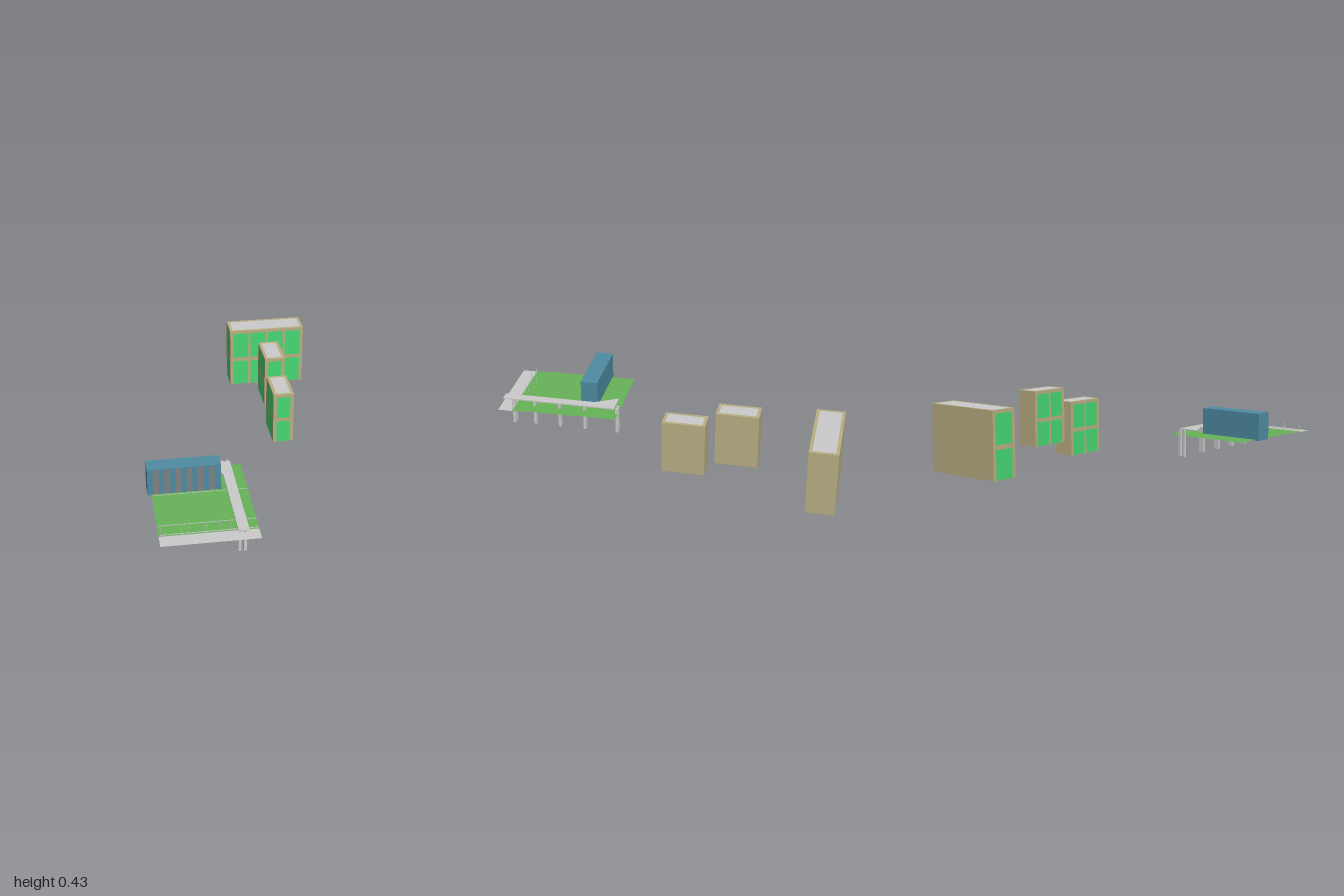
import * as THREE from 'three';

const paint = (color) => new THREE.MeshStandardMaterial({ color, side: THREE.DoubleSide });
const grey = paint(0xcccccc), tan = paint(0xbaaf84), green = paint(0x46d873);
const lawnGreen = paint(0x68b258), blue = paint(0x4f8ba2), stripeGrey = paint(0x828282);

function add(parent, name, geometry, material, x = 0, y = 0, z = 0) {
  const m = new THREE.Mesh(geometry, material);
  m.name = name;
  m.position.set(x, y, z);
  parent.add(m);
  return m;
}

// box given by its limits on each axis
function box(parent, name, material, [x0, x1], [y0, y1], [z0, z1]) {
  return add(parent, name, new THREE.BoxGeometry(x1 - x0, y1 - y0, z1 - z0), material,
    (x0 + x1) / 2, (y0 + y1) / 2, (z0 + z1) / 2);
}

const rect = (Type, x0, x1, y0, y1) => new Type([
  new THREE.Vector2(x0, y0), new THREE.Vector2(x1, y0),
  new THREE.Vector2(x1, y1), new THREE.Vector2(x0, y1)]);

// flat wall with coplanar panels set into its frame, centred on x, standing on y = 0
function wall(name, w, h, panels, frameMat, panelMat) {
  const g = new THREE.Group();
  g.name = name;
  const frame = rect(THREE.Shape, -w / 2, w / 2, 0, h);
  for (const p of panels) {
    frame.holes.push(rect(THREE.Path, ...p));
    add(g, 'panel', new THREE.ShapeGeometry(rect(THREE.Shape, ...p)), panelMat);
  }
  add(g, 'frame', new THREE.ShapeGeometry(frame), frameMat);
  return g;
}

// two rows of window panels in a number of columns
function windows(w, h, columns) {
  const list = [], pitch = (w - 0.04 + 0.015) / columns;
  for (let i = 0; i < columns; i++) {
    const x = -w / 2 + 0.02 + i * pitch;
    list.push([x, x + pitch - 0.015, 0.002, h * 0.435]);
    list.push([x, x + pitch - 0.015, h * 0.505, h - 0.018]);
  }
  return list;
}

// open-bottomed block: windows on front and right, plain back and left, rimmed roof
function building(name, [x0, x1], [y0, y1], [z0, z1], frontColumns, sideColumns) {
  const g = new THREE.Group();
  g.name = name;
  g.position.set((x0 + x1) / 2, y0, (z0 + z1) / 2);
  const w = x1 - x0, h = y1 - y0, d = z1 - z0;
  const front = wall('frontWall', w, h, windows(w, h, frontColumns), tan, green);
  front.position.z = d / 2;
  const back = wall('backWall', w, h, [], tan, green);
  back.position.z = -d / 2;
  back.rotation.y = Math.PI;
  const right = wall('rightWall', d, h, windows(d, h, sideColumns), tan, green);
  right.position.x = -w / 2;
  right.rotation.y = -Math.PI / 2;
  const left = wall('leftWall', d, h, [], tan, green);
  left.position.x = w / 2;
  left.rotation.y = Math.PI / 2;
  const r = 0.017;
  const roof = wall('roof', w, d, [[-w / 2 + r, w / 2 - r, r, d - r]], tan, grey);
  roof.position.set(0, h, d / 2);
  roof.rotation.x = -Math.PI / 2;
  g.add(front, back, right, left, roof);
  return g;
}

// level sheet of ground
function sheet(parent, name, material, [x0, x1], y, [z0, z1]) {
  const geo = new THREE.PlaneGeometry(x1 - x0, z1 - z0).rotateX(-Math.PI / 2);
  add(parent, name, geo, material, (x0 + x1) / 2, y, (z0 + z1) / 2);
}

export function createModel() {
  const model = new THREE.Group();
  model.name = 'site';

  // tall blocks
  model.add(building('wideBlock', [0.09, 0.547], [0.022, 0.385], [-1, -0.845], 4, 1));
  model.add(building('middleBlock', [0.218, 0.335], [0.13, 0.432], [-0.565, -0.335], 1, 2));
  model.add(building('nearBlock', [0.218, 0.335], [0.045, 0.347], [-0.28, -0.045], 1, 2));

  // stepped lawn with a paved front strip and thin risers
  const ground = new THREE.Group();
  ground.name = 'ground';
  model.add(ground);
  const gx = [-0.53, -0.025];
  sheet(ground, 'paving', grey, gx, 0.112, [0.915, 1]);
  sheet(ground, 'frontLawn', lawnGreen, gx, 0.114, [0.825, 0.915]);
  sheet(ground, 'middleLawn', lawnGreen, gx, 0.119, [0.545, 0.825]);
  sheet(ground, 'backLawn', lawnGreen, gx, 0.123, [0.3, 0.545]);
  for (const [z, y0, y1] of [[0.915, 0.112, 0.114], [0.825, 0.114, 0.119], [0.545, 0.119, 0.123]])
    add(ground, 'riser', new THREE.PlaneGeometry(gx[1] - gx[0], y1 - y0), grey,
      (gx[0] + gx[1]) / 2, (y0 + y1) / 2, z);

  // low rail and thin poles
  box(ground, 'rail', grey, [-0.525, -0.03], [0.121, 0.124], [0.914, 0.917]);
  for (const [x, z] of [[-0.52, 0.915], [-0.415, 0.915], [-0.37, 0.87], [-0.29, 0.915],
    [-0.215, 0.87], [-0.17, 0.915], [-0.035, 0.915]])
    add(ground, 'pole', new THREE.CylinderGeometry(0.0015, 0.0015, 0.053, 6), grey, x, 0.139, z);

  // long blue hall with a striped front
  const hall = new THREE.Group();
  hall.name = 'hall';
  model.add(hall);
  box(hall, 'hallBody', blue, [-0.55, -0.163], [0.118, 0.272], [0.437, 0.534]);
  const stripes = [];
  for (let i = 0; i < 6; i++) {
    const x = -0.162 + i * 0.0582;
    stripes.push([x, x + 0.029, 0.004, 0.15]);
  }
  const face = wall('hallFront', 0.387, 0.154, stripes, blue, stripeGrey);
  face.position.set(-0.3565, 0.118, 0.535);
  hall.add(face);

  // raised walkway, widening at its back end
  const walkway = new THREE.Group();
  walkway.name = 'walkway';
  model.add(walkway);
  const outline = new THREE.Shape([[-0.14, 0.985], [-0.14, 0.45], [-0.21, 0.32],
    [-0.085, 0.32], [-0.085, 0.985]].map(([x, z]) => new THREE.Vector2(x, z)));
  const deck = new THREE.ExtrudeGeometry(outline, { depth: 0.007, bevelEnabled: false });
  add(walkway, 'deck', deck.rotateX(Math.PI / 2), grey, 0, 0.16, 0);

  // pillars: paired posts at both ends, single piers between
  for (const z of [0.925, 0.307])
    for (const x of [-0.125, -0.097])
      box(walkway, 'endPost', grey, [x - 0.007, x + 0.007], [0, 0.155], [z - 0.008, z + 0.008]);
  for (const z of [0.8, 0.65, 0.5])
    box(walkway, 'pier', grey, [-0.127, -0.095], [0, 0.155], [z - 0.008, z + 0.008]);

  return model;
}
